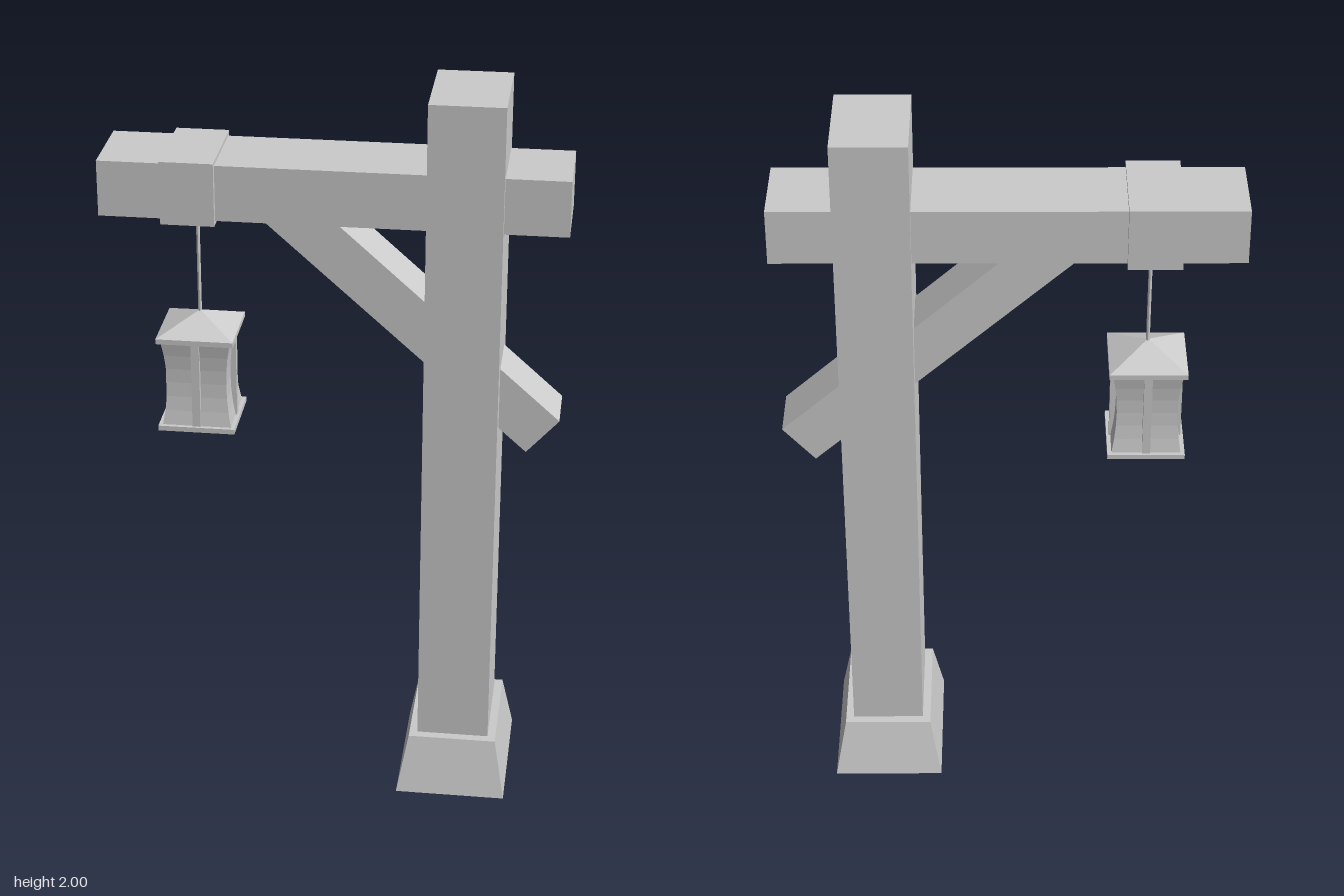
import * as THREE from 'three';

const material = new THREE.MeshStandardMaterial({ color: 0xcccccc, flatShading: true });

function add(parent, name, geometry, x, y, z = 0) {
  const mesh = new THREE.Mesh(geometry, material);
  mesh.name = name;
  mesh.position.set(x, y, z);
  parent.add(mesh);
  return mesh;
}

// Box given by its x and y limits and its depth
function block(parent, name, x0, x1, y0, y1, depth) {
  return add(parent, name, new THREE.BoxGeometry(x1 - x0, y1 - y0, depth), (x0 + x1) / 2, (y0 + y1) / 2);
}

// Scale x and z of each vertex by a function of its height
function shapeByHeight(geometry, rule) {
  const p = geometry.attributes.position;
  for (let i = 0; i < p.count; i++) {
    const [sx, sz] = rule(p.getY(i));
    p.setX(i, p.getX(i) * sx);
    p.setZ(i, p.getZ(i) * sz);
  }
  geometry.computeVertexNormals();
  return geometry;
}

function createLantern() {
  const lantern = new THREE.Group();
  lantern.name = 'lantern';

  // Hanging cord and roof
  add(lantern, 'cord', new THREE.CylinderGeometry(0.005, 0.005, 0.32, 8), 0, 1.5);
  const roof = new THREE.ConeGeometry(0.103 * Math.SQRT2, 0.047, 4).rotateY(Math.PI / 4);
  add(lantern, 'roof', roof, 0, 1.3315);
  block(lantern, 'roofPlate', -0.103, 0.103, 1.294, 1.308, 0.206);
  block(lantern, 'bottomPlate', -0.103, 0.103, 1.04, 1.054, 0.206);

  // Glass body, pinched towards the middle
  const height = 0.24;
  const glass = shapeByHeight(new THREE.BoxGeometry(0.184, height, 0.184, 1, 6, 1), (y) => {
    const s = 1 - 0.13 * (1 - (2 * y / height) ** 2);
    return [s, s];
  });
  add(lantern, 'glassBody', glass, 0, 1.174);

  // One straight bar down the middle of each side
  for (let i = 0; i < 4; i++) {
    const a = i * Math.PI / 2;
    const bar = add(lantern, 'sideBar', new THREE.BoxGeometry(0.022, height, 0.03), Math.sin(a) * 0.081, 1.174, Math.cos(a) * 0.081);
    bar.rotation.y = a;
  }
  return lantern;
}

export function createModel() {
  const model = new THREE.Group();
  model.name = 'lanternPost';

  // Tapered foot and upright
  const foot = shapeByHeight(new THREE.BoxGeometry(0.3, 0.16, 0.404), (y) => (y > 0 ? [0.8, 0.8] : [1, 1]));
  add(model, 'foot', foot, 0.34, 0.08);
  block(model, 'post', 0.242, 0.438, 0.1, 2, 0.274);

  // Cross beam with a band around it
  block(model, 'beam', -0.607, 0.605, 1.655, 1.805, 0.224);
  block(model, 'beamBand', -0.442, -0.302, 1.645, 1.815, 0.256);

  // Diagonal brace running through the post into the beam
  const angle = 0.73, length = 0.93;
  const brace = add(model, 'brace', new THREE.BoxGeometry(length, 0.128, 0.156),
    0.555 - Math.cos(angle) * length / 2, 1.0725 + Math.sin(angle) * length / 2);
  brace.rotation.z = -angle;

  // Lantern hanging from the band
  const lantern = createLantern();
  lantern.position.x = -0.368;
  model.add(lantern);

  return model;
}
